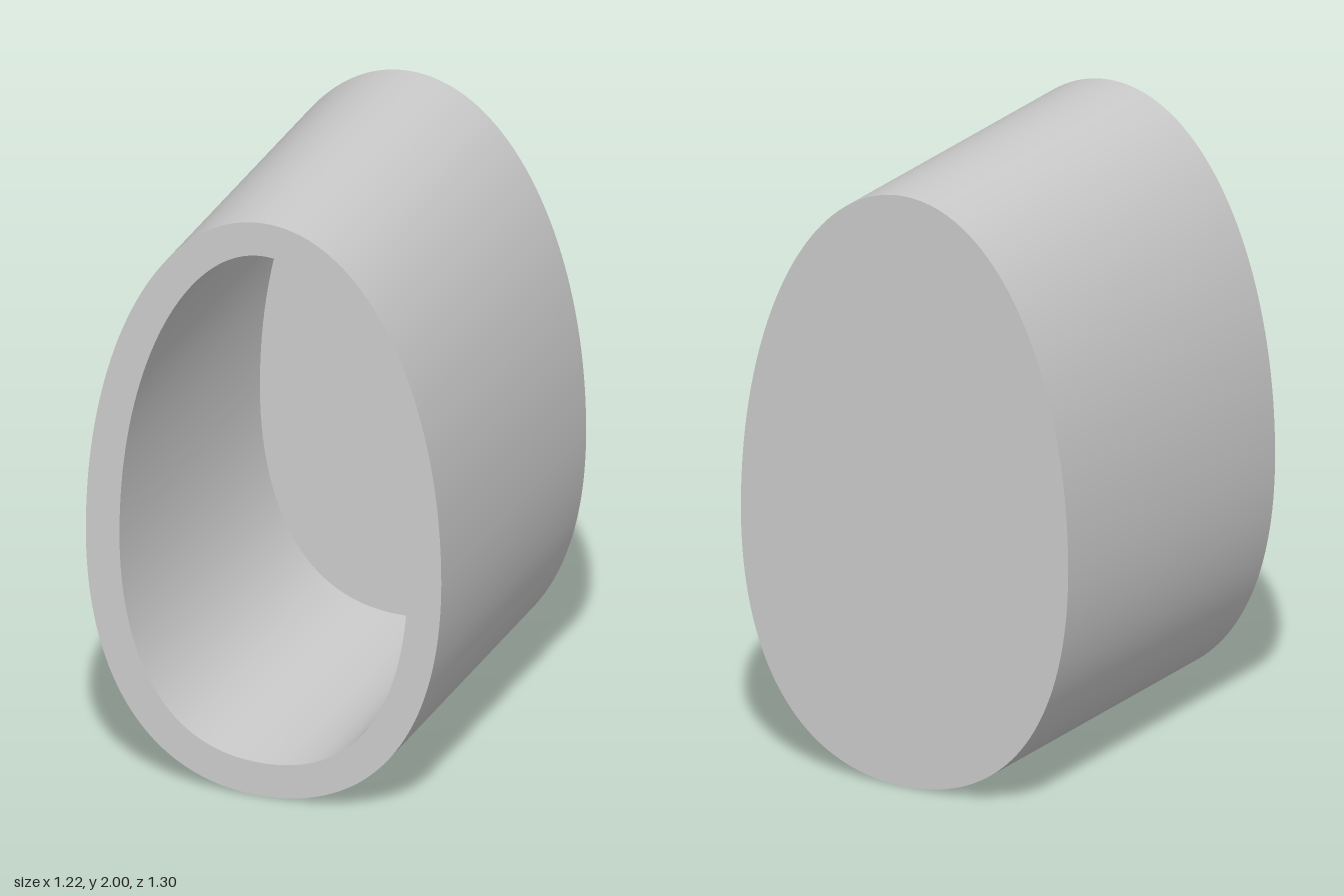
import * as THREE from 'three';
import { toCreasedNormals } from 'three/addons/utils/BufferGeometryUtils.js';

const HALF_DEPTH = 0.648, WALL = 0.115, FLOOR = 0.04;
const WIDTH = 0.608, WIDEST = 0.84, TOP = 2;

// Egg outline, counter-clockwise seen from the front, as points with inward normals
function eggOutline(steps) {
  const v = (x, y) => new THREE.Vector2(x, y);
  const lower = new THREE.CubicBezierCurve(
    v(0, 0), v(WIDTH * 0.64, 0), v(WIDTH, WIDEST * 0.38), v(WIDTH, WIDEST));
  const upper = new THREE.CubicBezierCurve(
    v(WIDTH, WIDEST), v(WIDTH, WIDEST + (TOP - WIDEST) * 0.55), v(WIDTH * 0.58, TOP), v(0, TOP));
  const half = [];
  for (const curve of [lower, upper]) {
    for (let i = 0; i < steps; i++) {
      const p = curve.getPoint(i / steps), t = curve.getTangent(i / steps);
      half.push({ x: p.x, y: p.y, nx: -t.y, ny: t.x });
    }
  }
  half.push({ x: 0, y: TOP, nx: 0, ny: -1 });
  const mirrored = half.slice(1, -1).reverse().map(p => ({ ...p, x: -p.x, nx: -p.nx }));
  return [...half, ...mirrored];
}

// Closed-back sleeve: rings run from the back centre, round the rim, to the cavity floor
function cupGeometry() {
  const outline = eggOutline(40), n = outline.length;
  const inset = d => outline.map(p => [p.x + p.nx * d, p.y + p.ny * d]);
  const centre = outline.map(() => [0, WIDEST]);
  const floorZ = -HALF_DEPTH + FLOOR;
  const rings = [
    [centre, -HALF_DEPTH], [inset(0), -HALF_DEPTH], [inset(0), HALF_DEPTH],
    [inset(WALL), HALF_DEPTH], [inset(WALL), floorZ], [centre, floorZ],
  ];
  const positions = [], index = [];
  for (const [points, z] of rings) for (const [x, y] of points) positions.push(x, y, z);
  const last = rings.length - 2;
  for (let r = 0; r <= last; r++) {
    for (let i = 0; i < n; i++) {
      const j = (i + 1) % n;
      const a = r * n + i, b = r * n + j, c = b + n, d = a + n;
      if (r > 0) index.push(a, b, c);
      if (r < last) index.push(a, c, d);
      else index.push(); // the floor fan needs one triangle per step
    }
  }
  // Back fan uses (centre, next, current) only; floor fan uses (current, next, centre) only
  const geometry = new THREE.BufferGeometry();
  geometry.setAttribute('position', new THREE.Float32BufferAttribute(positions, 3));
  geometry.setIndex(index);
  return toCreasedNormals(geometry, 0.6);
}

export function createModel() {
  const group = new THREE.Group();
  group.name = 'ovalCup';
  const material = new THREE.MeshStandardMaterial({ color: 0xcccccc });
  const shell = new THREE.Mesh(cupGeometry(), material);
  shell.name = 'shell';
  group.add(shell);
  return group;
}
